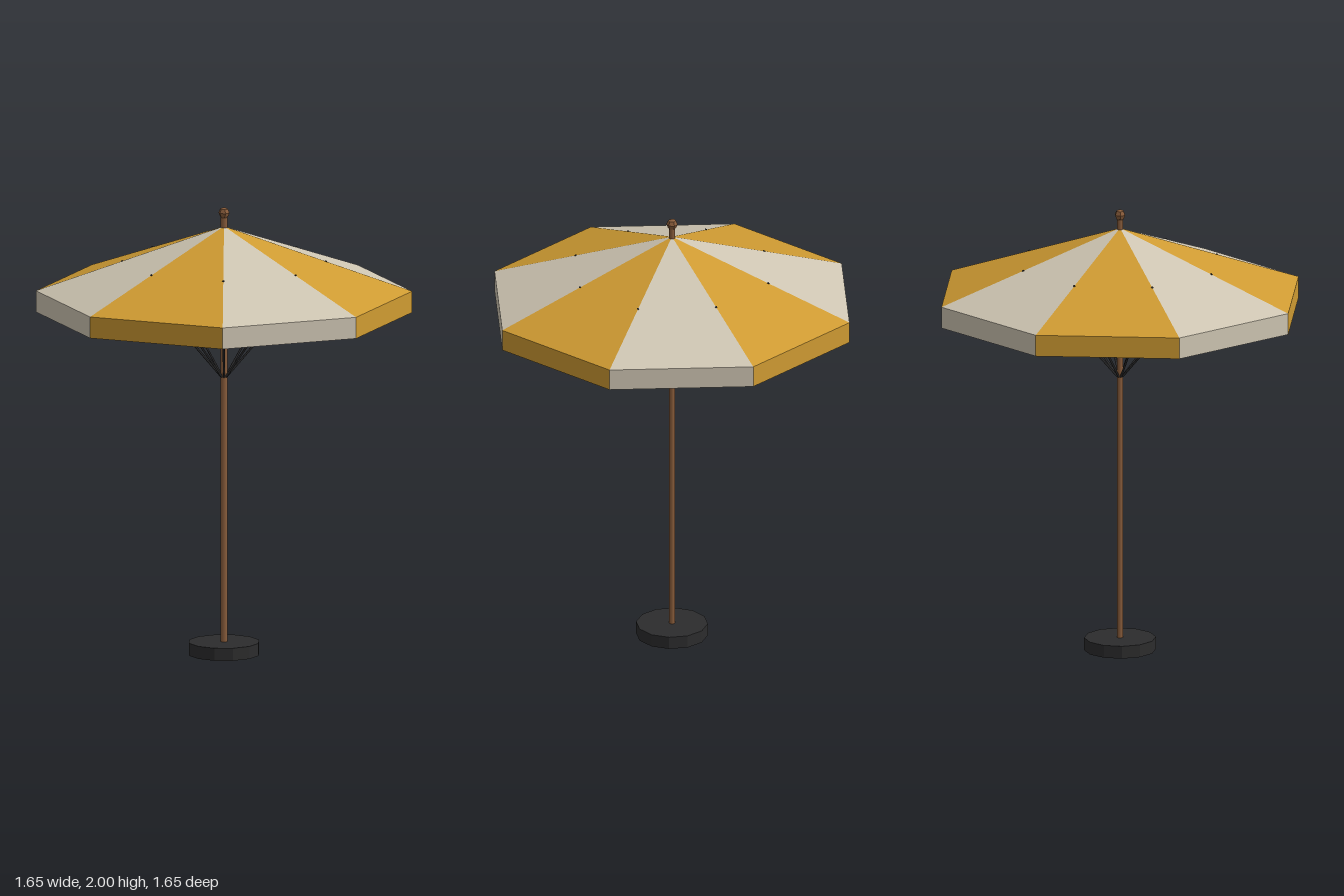
import * as THREE from 'three';

const SIDES = 8, STEP = (Math.PI * 2) / SIDES;
const RADIUS = 0.826, APEX = 1.915, RIM = 1.625, HEM = 1.53;

const material = (name, color, extra = {}) => {
  const m = new THREE.MeshStandardMaterial({ color, ...extra });
  m.name = name;
  return m;
};

// Faceted normals for low-poly parts
function faceted(geometry) {
  const g = geometry.index ? geometry.toNonIndexed() : geometry;
  g.computeVertexNormals();
  return g;
}

function add(parent, name, geometry, mat, y = 0) {
  const mesh = new THREE.Mesh(geometry, mat);
  mesh.name = name;
  mesh.position.y = y;
  parent.add(mesh);
  return mesh;
}

export function createModel() {
  const cloth = { side: THREE.DoubleSide };
  const ochre = material('ochre cloth', 0xcf9b32, cloth);
  const cream = material('cream cloth', 0xcfc6b3, cloth);
  const wood = material('brown wood', 0x8b5e3c);
  const dark = material('dark metal', 0x2c2c2d);

  const model = new THREE.Group();
  model.name = 'parasol';

  // Weighted foot, pole and finial
  add(model, 'base', faceted(new THREE.CylinderGeometry(0.158, 0.158, 0.056, 12)), dark, 0.028);
  add(model, 'pole', new THREE.CylinderGeometry(0.0145, 0.0145, 1.9, 8), wood, 0.955);
  add(model, 'finialStem', new THREE.CylinderGeometry(0.015, 0.015, 0.06, 8), wood, 1.925);
  add(model, 'finialBall', faceted(new THREE.SphereGeometry(0.025, 6, 4)), wood, 1.975);

  // Canopy: eight alternating panels, each with a hanging valance
  const canopy = new THREE.Group();
  canopy.name = 'canopy';
  model.add(canopy);
  for (let i = 0; i < SIDES; i++) {
    const mat = i % 2 ? cream : ochre;
    const panel = new THREE.CylinderGeometry(0, RADIUS, APEX - RIM, 1, 1, true, i * STEP, STEP);
    const valance = new THREE.CylinderGeometry(RADIUS, RADIUS, RIM - HEM, 1, 1, true, i * STEP, STEP);
    add(canopy, 'panel', faceted(panel), mat, (APEX + RIM) / 2);
    add(canopy, 'valance', faceted(valance), mat, (RIM + HEM) / 2);
  }

  // Struts from the pole up to each canopy ridge
  const struts = new THREE.Group();
  struts.name = 'struts';
  model.add(struts);
  for (let i = 0; i < SIDES; i++) {
    const s = Math.sin(i * STEP), c = Math.cos(i * STEP);
    const from = new THREE.Vector3(0.012 * s, 1.242, 0.012 * c);
    const to = new THREE.Vector3(0.45 * s, 1.76, 0.45 * c);
    const dir = to.clone().sub(from);
    const strut = add(struts, 'strut', new THREE.CylinderGeometry(0.005, 0.005, dir.length(), 5), dark);
    strut.position.copy(from).add(to).multiplyScalar(0.5);
    strut.quaternion.setFromUnitVectors(new THREE.Vector3(0, 1, 0), dir.normalize());
  }
  return model;
}
